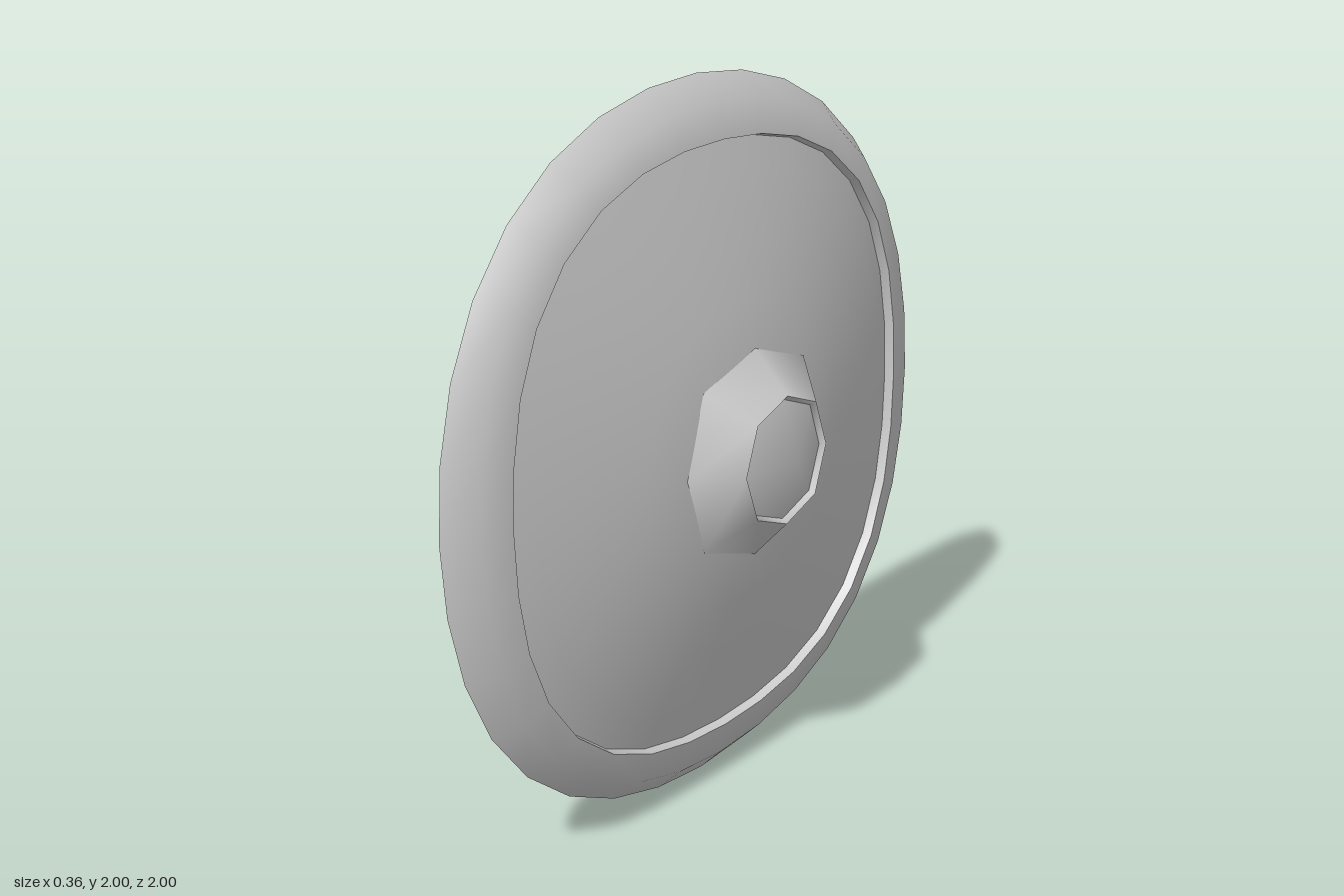
import * as THREE from 'three';
import { toCreasedNormals } from 'three/addons/utils/BufferGeometryUtils.js';

// Loft of rings around the x axis. Each ring is [x, radius, squareness];
// squareness pushes the diagonals outwards. Radius 0 closes the surface.
function loft(rings, sides, crease) {
  const pos = [];
  const idx = [];
  for (const [x, r, k = 0] of rings) {
    for (let i = 0; i < sides; i++) {
      const a = (i / sides) * Math.PI * 2;
      const d = r * (1 + k * Math.sin(2 * a) ** 2);
      pos.push(x, d * Math.cos(a), d * Math.sin(a));
    }
  }
  for (let j = 0; j < rings.length - 1; j++) {
    for (let i = 0; i < sides; i++) {
      const n = (i + 1) % sides;
      const a = j * sides + i, b = j * sides + n;
      const c = a + sides, d = b + sides;
      if (rings[j][1] > 0) idx.push(a, b, c);
      if (rings[j + 1][1] > 0) idx.push(b, d, c);
    }
  }
  const geo = new THREE.BufferGeometry();
  geo.setAttribute('position', new THREE.Float32BufferAttribute(pos, 3));
  geo.setIndex(idx);
  return toCreasedNormals(geo, crease);
}

export function createModel() {
  const group = new THREE.Group();
  group.name = 'roundShield';
  const material = new THREE.MeshStandardMaterial({ color: 0xcccccc });

  const add = (name, rings, sides, crease = 0.75) => {
    const mesh = new THREE.Mesh(loft(rings, sides, crease), material);
    mesh.name = name;
    mesh.position.y = 1;
    group.add(mesh);
  };

  // Shallow hollow back, curving smoothly into the outer lip
  add('back', [
    [-0.115, 0],
    [-0.12, 0.45, 0.02],
    [-0.132, 0.7, 0.04],
    [-0.15, 0.83, 0.04],
    [-0.18, 0.97, 0.03],
    [-0.155, 1, 0.03],
  ], 32, 1.3);

  // Rounded rim with a short wall stepping down to the panel
  add('rim', [
    [-0.155, 1, 0.03],
    [-0.084, 0.93, 0.04],
    [-0.065, 0.837, 0.062],
    [-0.093, 0.831, 0.062],
  ], 32);

  // Gently domed front panel
  add('panel', [
    [-0.093, 0.831, 0.062],
    [-0.07, 0.75, 0.055],
    [-0.02, 0.56, 0.04],
    [0.01, 0.42, 0.02],
    [0.036, 0.29, 0],
    [0.05, 0, 0],
  ], 32);

  // Eight-sided boss with a recessed lip
  add('boss', [
    [0.035, 0.293, 0.07],
    [0.143, 0.18, 0.03],
    [0.128, 0.168, 0.03],
  ], 8);

  // Shallow pointed cap
  add('bossCap', [[0.128, 0.168, 0.03], [0.176, 0]], 8);

  return group;
}
